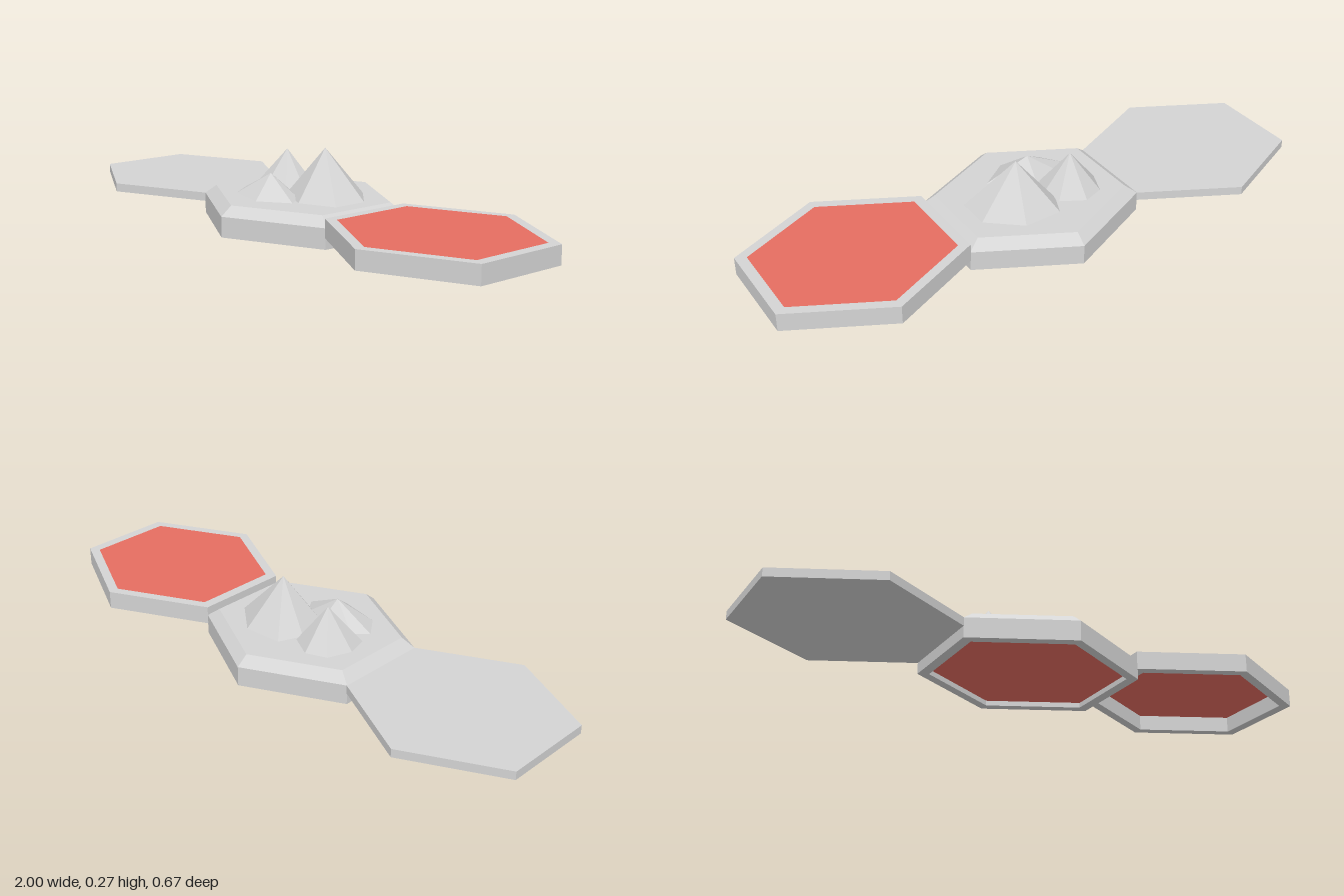
import * as THREE from 'three';

const grey = new THREE.MeshStandardMaterial({ color: 0xd4d4d4 });
grey.name = 'stone grey';
const red = new THREE.MeshStandardMaterial({ color: 0xe66d61 });
red.name = 'panel red';

function addMesh(parent, name, geometry, material) {
  const mesh = new THREE.Mesh(geometry, material);
  mesh.name = name;
  parent.add(mesh);
  return mesh;
}

// Hexagonal prism with points on z, as wide in x as in z
function hexPrism(topRadius, bottomRadius, y0, y1) {
  let g = new THREE.CylinderGeometry(topRadius, bottomRadius, y1 - y0, 6);
  g.scale(2 / Math.sqrt(3), 1, 1);
  g.translate(0, (y0 + y1) / 2, 0);
  g = g.toNonIndexed();
  g.computeVertexNormals();
  return g;
}

// Hexagonal frame with a hexagonal opening; the hole runs against the outline
function hexRing(outer, inner, y0, y1) {
  const corners = (r) => [[0, 1], [-1, 0.5], [-1, -0.5], [0, -1], [1, -0.5], [1, 0.5]]
    .map(([x, z]) => new THREE.Vector2(x * r, z * r));
  const shape = new THREE.Shape(corners(outer));
  shape.holes.push(new THREE.Path(corners(inner).reverse()));
  const g = new THREE.ExtrudeGeometry(shape, { depth: y1 - y0, bevelEnabled: false });
  g.rotateX(-Math.PI / 2);
  g.translate(0, y0, 0);
  return g;
}

// Faceted peak: base corners run clockwise as seen from above
function peak(apex, base, y) {
  const positions = [];
  base.forEach(([x, z], i) => {
    const [nx, nz] = base[(i + 1) % base.length];
    positions.push(...apex, nx, y, nz, x, y, z);
  });
  const g = new THREE.BufferGeometry();
  g.setAttribute('position', new THREE.Float32BufferAttribute(positions, 3));
  g.computeVertexNormals();
  return g;
}

export function createModel() {
  const model = new THREE.Group();
  model.name = 'hexTiles';

  // Plain thin tile
  const plain = addMesh(model, 'plainTile', hexPrism(0.333, 0.333, 0.04, 0.07), grey);
  plain.position.x = -0.667;

  // Framed tile, hollow below its coloured panel
  const framed = new THREE.Group();
  framed.name = 'framedTile';
  framed.position.x = 0.664;
  addMesh(framed, 'frame', hexRing(0.336, 0.3, 0.038, 0.102), grey);
  addMesh(framed, 'framePanel', hexPrism(0.3, 0.3, 0.094, 0.102), red);
  model.add(framed);

  // Mountain tile with chamfered top and recessed underside panel
  const mountain = new THREE.Group();
  mountain.name = 'mountainTile';
  mountain.position.x = -0.003;
  addMesh(mountain, 'baseRim', hexRing(0.333, 0.298, 0, 0.025), grey);
  addMesh(mountain, 'basePanel', hexPrism(0.298, 0.298, 0.018, 0.026), red);
  addMesh(mountain, 'tileBody', hexPrism(0.333, 0.333, 0.025, 0.07), grey);
  addMesh(mountain, 'chamferedTop', hexPrism(0.293, 0.333, 0.07, 0.102), grey);
  model.add(mountain);

  // Three peaks
  const peaks = [
    ['tallPeak', [0.078, 0.268, -0.04], [[-0.02, -0.165], [0.12, -0.175], [0.235, -0.08],
      [0.235, 0.044], [0.11, 0.102], [-0.04, 0.035], [-0.055, -0.08]]],
    ['middlePeak', [-0.135, 0.234, -0.045], [[-0.21, -0.125], [-0.135, -0.155], [-0.05, -0.11],
      [-0.03, -0.04], [-0.05, 0.03], [-0.13, 0.065], [-0.22, 0.037], [-0.242, -0.04]]],
    ['lowPeak', [-0.05, 0.178, 0.093], [[-0.16, 0.045], [-0.04, 0.005], [0.06, 0.055],
      [0.102, 0.118], [0.0, 0.196], [-0.15, 0.168], [-0.21, 0.09]]],
  ];
  for (const [name, apex, base] of peaks) addMesh(model, name, peak(apex, base, 0.1), grey);

  return model;
}
